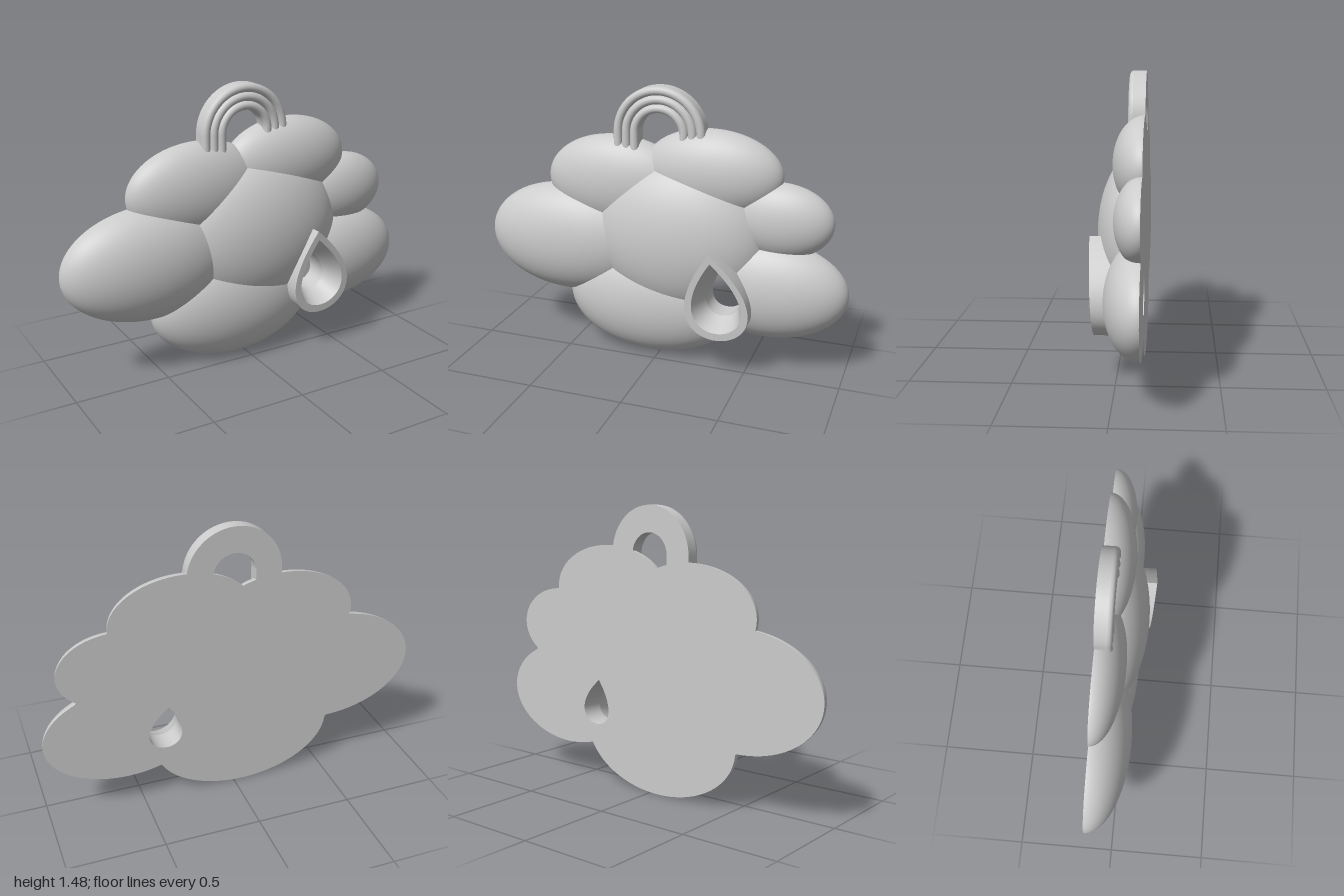
import * as THREE from 'three';

const BACK = -0.13;
const material = new THREE.MeshStandardMaterial({ color: 0xcccccc, side: THREE.DoubleSide });

// name, centre x, centre y, radius x, radius y, depth
const PUFFS = [
  ['middlePuff', 0.1, 0.68, 0.48, 0.42, 0.24],
  ['leftSidePuff', -0.53, 0.605, 0.47, 0.305, 0.2],
  ['bottomPuff', -0.05, 0.31, 0.48, 0.31, 0.2],
  ['lowerRightPuff', 0.58, 0.45, 0.42, 0.27, 0.18],
  ['smallRightPuff', 0.625, 0.825, 0.28, 0.2, 0.13],
  ['upperRightPuff', 0.27, 1.04, 0.37, 0.23, 0.155],
  ['upperLeftPuff', -0.25, 0.95, 0.39, 0.25, 0.15],
];

// Leaning teardrop outline, from its tip clockwise back to the tip
function teardrop(cx, cy, w, h, n = 64) {
  const lean = 0.13, c = Math.cos(lean), s = Math.sin(lean);
  return Array.from({ length: n + 1 }, (_, i) => {
    const t = (i / n) * Math.PI * 2;
    const x = w * Math.sin(t) * Math.sin(t / 2), y = h * Math.cos(t);
    return new THREE.Vector2(cx + x * c - y * s, cy + x * s + y * c);
  });
}

// Smooth skin through rows of points; separate lofts meet in sharp edges
function loft(rows) {
  const n = rows[0].length, index = [];
  for (let r = 0; r < rows.length - 1; r++) {
    for (let i = 0; i < n - 1; i++) {
      const a = r * n + i, b = a + n;
      index.push(a, b, a + 1, b, b + 1, a + 1);
    }
  }
  const geo = new THREE.BufferGeometry();
  geo.setAttribute('position', new THREE.Float32BufferAttribute(rows.flat(2), 3));
  geo.setIndex(index);
  geo.computeVertexNormals();
  return geo;
}

function inside(poly, x, y) {
  let hit = false;
  for (let i = 0, j = poly.length - 1; i < poly.length; j = i++) {
    const a = poly[i], b = poly[j];
    if ((a.y > y) !== (b.y > y) && x < ((b.x - a.x) * (y - a.y)) / (b.y - a.y) + a.x) hit = !hit;
  }
  return hit;
}

// Half ellipsoid, left open where the drop passes through
function puffGeometry([, cx, cy, rx, ry, rz], cut) {
  const geo = new THREE.SphereGeometry(1, 128, 40, 0, Math.PI * 2, 0, Math.PI / 2);
  geo.rotateX(Math.PI / 2).scale(rx, ry, rz).translate(cx, cy, BACK);
  const p = geo.attributes.position, old = geo.index.array, kept = [];
  for (let i = 0; i < old.length; i += 3) {
    const f = [old[i], old[i + 1], old[i + 2]];
    const x = f.reduce((s, k) => s + p.getX(k), 0) / 3;
    const y = f.reduce((s, k) => s + p.getY(k), 0) / 3;
    if (!inside(cut, x, y)) kept.push(...f);
  }
  geo.setIndex(kept);
  return geo;
}

// Outline of all puffs together, found along rays from the middle
function cloudOutline() {
  const ox = 0.05, oy = 0.65, n = 480;
  return Array.from({ length: n }, (_, i) => {
    const t = (i / n) * Math.PI * 2, dx = Math.cos(t), dy = Math.sin(t);
    let far = 0;
    for (const [, cx, cy, rx, ry] of PUFFS) {
      const ux = dx / rx, uy = dy / ry, px = (ox - cx) / rx, py = (oy - cy) / ry;
      const a = ux * ux + uy * uy, b = ux * px + uy * py, c = px * px + py * py - 1;
      const d = b * b - a * c;
      if (d >= 0) far = Math.max(far, (-b + Math.sqrt(d)) / a);
    }
    return new THREE.Vector2(ox + far * dx, oy + far * dy);
  });
}

export function createModel() {
  const model = new THREE.Group();
  const add = (parent, name, geo) => {
    const mesh = new THREE.Mesh(geo, material);
    mesh.name = name;
    parent.add(mesh);
  };
  const group = (name) => {
    const g = new THREE.Group();
    g.name = name;
    model.add(g);
    return g;
  };

  // Cloud puffs and flat back
  const outer = teardrop(0.36, 0.455, 0.217, 0.24);
  const rim = teardrop(0.362, 0.45, 0.17, 0.195);
  const hole = teardrop(0.368, 0.43, 0.114, 0.122);
  const cut = teardrop(0.361, 0.453, 0.188, 0.212);
  const cloud = group('cloud');
  for (const puff of PUFFS) add(cloud, puff[0], puffGeometry(puff, cut));
  const backShape = new THREE.Shape(cloudOutline());
  backShape.holes.push(new THREE.Path(hole.slice(0, -1)));
  const backGeo = new THREE.ShapeGeometry(backShape);
  backGeo.translate(0, 0, BACK);
  // turn the face to the rear
  const order = backGeo.index.array;
  for (let i = 0; i < order.length; i += 3) [order[i], order[i + 1]] = [order[i + 1], order[i]];
  backGeo.computeVertexNormals();
  add(cloud, 'flatBack', backGeo);

  // Raindrop frame: sloping front, tapered recess and through hole
  const drop = group('raindropFrame');
  const at = (pts, z) => pts.map((p) => [p.x, p.y, typeof z === 'number' ? z : z(p)]);
  const front = (p) => 0.092 + 0.0625 * p.y;
  const ledge = -0.01;
  add(drop, 'outerWall', loft([at(outer, BACK), at(outer, front)]));
  add(drop, 'frontRim', loft([at(outer, front), at(rim, front)]));
  add(drop, 'recess', loft([at(rim, front), at(hole, ledge)]));
  add(drop, 'holeWall', loft([at(hole, ledge), at(hole, BACK)]));

  // Rainbow loop: one row follows the left leg, the arch and the right leg
  const loop = group('rainbowLoop');
  const row = (r, z) => {
    const pts = [[-r, 1.11, z]];
    for (let i = 0; i <= 48; i++) {
      const t = Math.PI * (1 - i / 48);
      pts.push([r * Math.cos(t), 1.23 + r * Math.sin(t), z]);
    }
    pts.push([r, 1.11, z]);
    return pts;
  };
  const R = 0.245, r = 0.11, groove = -0.068, half = (R - r) / 6;
  add(loop, 'outerSide', loft([row(R, BACK), row(R, groove)]));
  for (let k = 0; k < 3; k++) {
    const mid = R - half * (2 * k + 1);
    const rows = Array.from({ length: 11 }, (_, i) => {
      const t = (i / 10) * Math.PI;
      return row(mid + half * Math.cos(t), groove + 0.0225 * Math.sin(t));
    });
    add(loop, 'ridge' + (k + 1), loft(rows));
  }
  add(loop, 'innerSide', loft([row(r, groove), row(r, BACK)]));
  add(loop, 'loopBack', loft([row(r, BACK), row(R, BACK)]));

  return model;
}
